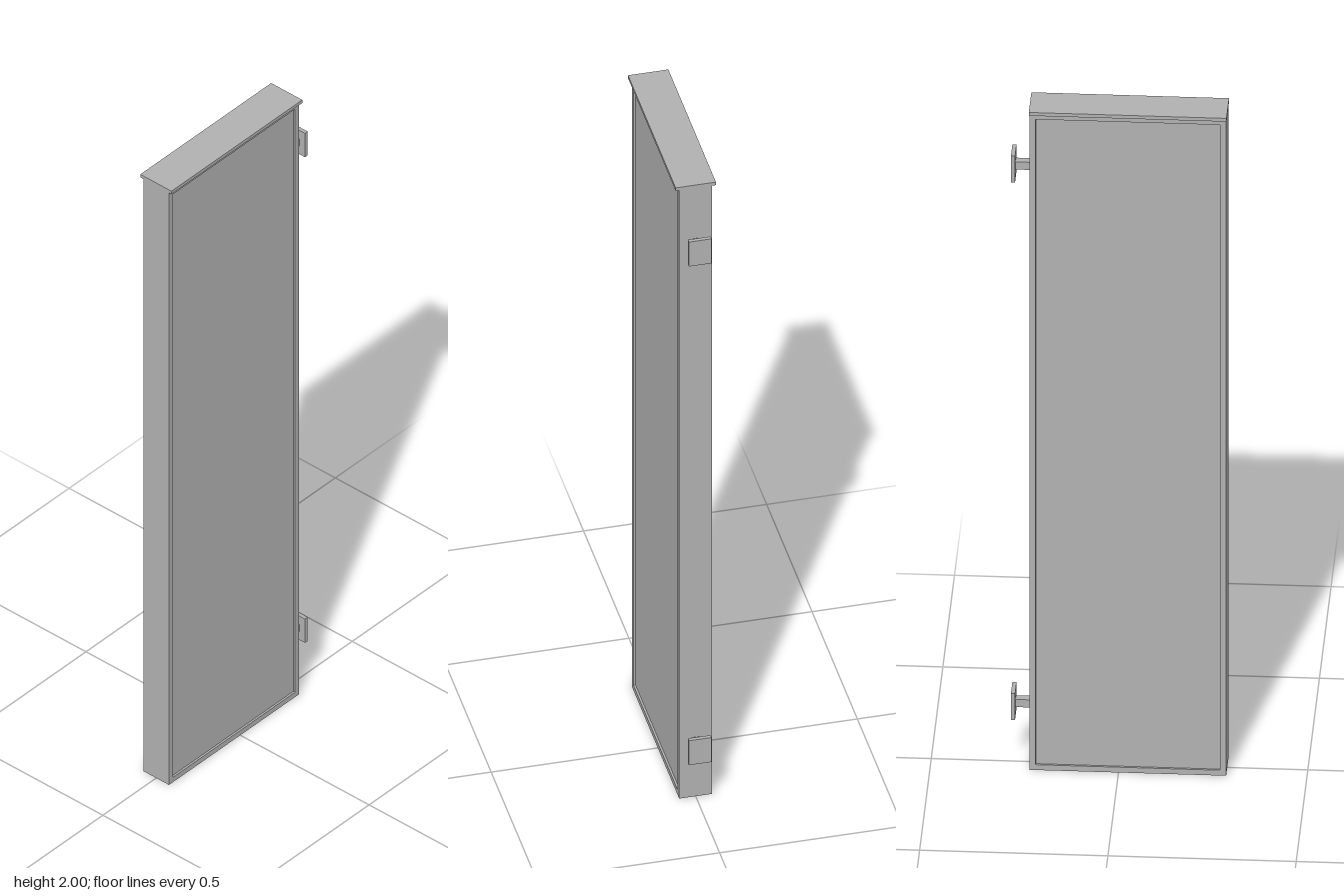
import * as THREE from 'three';

export function createModel() {
  const model = new THREE.Group();
  const grey = new THREE.MeshStandardMaterial({ color: 0xb2b2b2 });
  grey.name = 'grey metal';

  const add = (name, geometry, x = 0, y = 0, z = 0, parent = model) => {
    const mesh = new THREE.Mesh(geometry, grey);
    mesh.name = name;
    mesh.position.set(x, y, z);
    parent.add(mesh);
    return mesh;
  };

  // Outer size of the sign box
  const left = -0.286, right = 0.236, top = 1.99, depth = 0.09, rim = 0.016;
  const width = right - left, middle = (left + right) / 2;

  // Rim running round the box, open in front and behind
  const outline = new THREE.Shape([
    [left, 0], [right, 0], [right, top], [left, top],
  ].map(([x, y]) => new THREE.Vector2(x, y)));
  outline.holes.push(new THREE.Path([
    [left + rim, rim], [left + rim, top - rim], [right - rim, top - rim], [right - rim, rim],
  ].map(([x, y]) => new THREE.Vector2(x, y))));
  add('frame', new THREE.ExtrudeGeometry(outline, { depth, bevelEnabled: false }), 0, 0, -depth / 2);

  // Panel set slightly back from the rim on both faces
  add('panel', new THREE.BoxGeometry(width - 2 * rim, top - 2 * rim, depth - 0.012), middle, top / 2);

  // Thin overhanging cap
  add('topCap', new THREE.BoxGeometry(0.525, 0.01, 0.11), middle, 1.995);

  // Wall brackets: a short arm ending in a plate
  for (const [name, y] of [['lowerBracket', 0.182], ['upperBracket', 1.813]]) {
    const bracket = new THREE.Group();
    bracket.name = name;
    bracket.position.y = y;
    add('bracketArm', new THREE.BoxGeometry(0.042, 0.023, 0.023), 0.256, 0, 0, bracket);
    add('bracketPlate', new THREE.BoxGeometry(0.011, 0.08, 0.062), 0.281, 0, 0, bracket);
    model.add(bracket);
  }
  return model;
}
